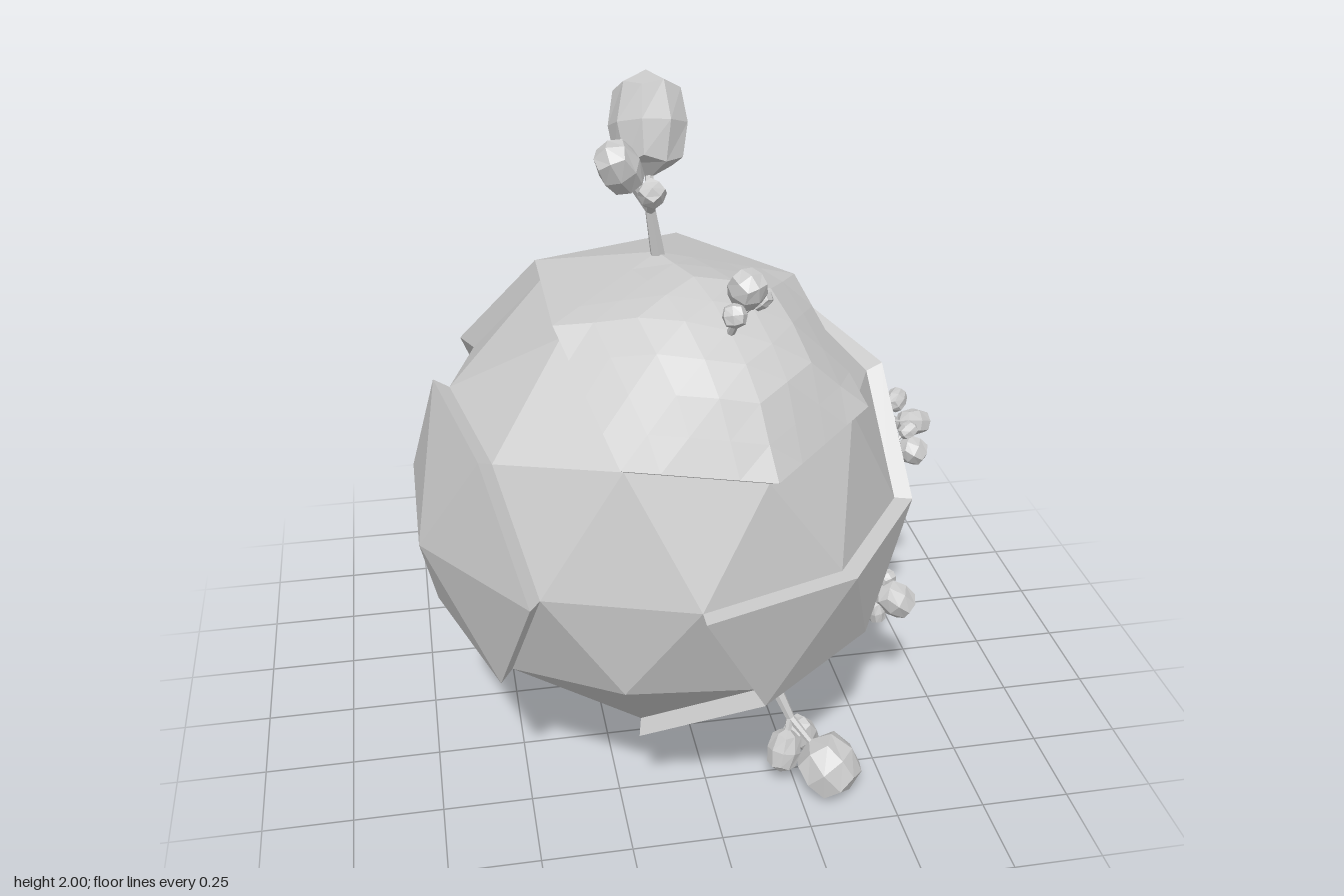
import * as THREE from 'three';

const mat = new THREE.MeshStandardMaterial({ color: 0xcccccc, flatShading: true });
const V = (x, y, z) => new THREE.Vector3(x, y, z);
const CENTER = V(-0.1, 0.89, 0.3);
const R0 = 0.642, R1 = 0.69;
const RING = 0.4472, EDGE = 0.5257, POLAR = 0.8507;

// Unit direction from azimuth (degrees, from +z towards +x) and height
function dir(az, y) {
  const a = THREE.MathUtils.degToRad(az), r = Math.sqrt(1 - y * y);
  return V(r * Math.sin(a), y, r * Math.cos(a));
}
const same = (a, b) => a.distanceTo(b) < 0.02;

// Once-subdivided icosahedron standing on a pole, as triangles of directions
function sphereFaces() {
  const top = V(0, 1, 0), bottom = V(0, -1, 0), big = [], out = [];
  const up = i => dir(18 + 72 * i, RING), low = i => dir(54 + 72 * i, -RING);
  for (let i = 0; i < 5; i++) {
    big.push([top, up(i), up(i + 1)], [up(i), low(i), up(i + 1)],
      [low(i), low(i + 1), up(i + 1)], [bottom, low(i + 1), low(i)]);
  }
  const mid = (a, b) => a.clone().add(b).normalize();
  for (const [a, b, c] of big) {
    const ab = mid(a, b), bc = mid(b, c), ca = mid(c, a);
    out.push([a, ab, ca], [ab, b, bc], [ca, bc, c], [ab, bc, ca]);
  }
  return out;
}

function meshFrom(points, name) {
  const g = new THREE.BufferGeometry().setFromPoints(points);
  g.computeVertexNormals();
  const m = new THREE.Mesh(g, mat);
  m.name = name;
  return m;
}

// The north pole is pressed down slightly
const raised = d => d.clone().multiplyScalar(d.y > 0.99 ? 0.675 : R1);

// Triangle split into n rows, swelling towards its first corner
function hillFace([a, b, c], height, n = 4) {
  const A = raised(a), B = raised(b), C = raised(c), pts = [];
  const p = (i, j) => {
    const w = 1 - i / n, v = j / n;
    const q = A.clone().multiplyScalar(w).addScaledVector(B, 1 - w - v).addScaledVector(C, v);
    return q.setLength(THREE.MathUtils.lerp(q.length(), height, Math.min(1, 1.8 * w)));
  };
  for (let i = 0; i < n; i++) {
    for (let j = 0; j <= i; j++) {
      pts.push(p(i, j), p(i + 1, j), p(i + 1, j + 1));
      if (j < i) pts.push(p(i, j), p(i + 1, j + 1), p(i, j + 1));
    }
  }
  return pts;
}

// Raised plate: outer faces plus walls along its border
function plate(faces, name, hill) {
  const pts = [];
  for (const f of faces) {
    if (hill) {
      const k = f.findIndex(d => same(d, hill.at));
      pts.push(...hillFace([f[k], f[(k + 1) % 3], f[(k + 2) % 3]], hill.height));
    } else pts.push(...f.map(raised));
    f.forEach((a, i) => {
      const b = f[(i + 1) % 3];
      const shared = faces.some(g => g !== f && g.some(d => same(d, a)) && g.some(d => same(d, b)));
      if (shared) return;
      const A = raised(a), B = raised(b);
      const a0 = a.clone().multiplyScalar(R0 * 0.98), b0 = b.clone().multiplyScalar(R0 * 0.98);
      pts.push(A, a0, b0, A, b0, B);
    });
  }
  return meshFrom(pts, name);
}

// Tapered stick between two points
function stick(a, b, r0, r1, name) {
  const d = b.clone().sub(a);
  const m = new THREE.Mesh(new THREE.CylinderGeometry(r1, r0, d.length(), 6), mat);
  m.position.copy(a).addScaledVector(d, 0.5);
  m.quaternion.setFromUnitVectors(V(0, 1, 0), d.normalize());
  m.name = name;
  return m;
}

// Faceted leaf clump: a divided box pulled towards a ball
function clumpGeometry() {
  const g = new THREE.BoxGeometry(1, 1, 1, 2, 2, 2), p = g.attributes.position, v = V(0, 0, 0);
  for (let i = 0; i < p.count; i++) {
    v.fromBufferAttribute(p, i);
    v.multiplyScalar(THREE.MathUtils.lerp(1, 0.5 / v.length(), 0.85));
    p.setXYZ(i, v.x, v.y, v.z);
  }
  g.computeVertexNormals();
  return g;
}
const clump = clumpGeometry();

// Tree: base point, trunk radius, and clumps as [x, y, z, width, length]
function tree(base, r, clumps, name) {
  const g = new THREE.Group();
  g.name = name;
  const b = V(...base), out = b.clone().sub(CENTER).normalize(), fork = V(0, 0, 0);
  clumps.forEach(c => fork.add(V(c[0], c[1], c[2])));
  fork.divideScalar(clumps.length).lerp(b, 0.5);
  g.add(stick(b.clone().addScaledVector(out, -0.04), fork, r, r * 0.65, 'trunk'));
  clumps.forEach(([x, y, z, w, l], i) => {
    const at = V(x, y, z), along = at.clone().sub(fork).normalize();
    g.add(stick(fork, at, r * 0.6, r * 0.35, 'branch'));
    const leaf = new THREE.Mesh(clump, mat);
    leaf.position.copy(at);
    leaf.scale.set(w, l, w);
    leaf.quaternion.setFromUnitVectors(V(0, 1, 0), along);
    leaf.rotateY(0.5 + i * 0.9);
    leaf.name = 'leafClump';
    g.add(leaf);
  });
  return g;
}

export function createModel() {
  const model = new THREE.Group();
  model.name = 'littlePlanet';
  const planet = new THREE.Group();
  planet.name = 'planet';
  planet.position.copy(CENTER);
  model.add(planet);

  // Inner ball
  const faces = sphereFaces();
  planet.add(meshFrom(faces.flat().map(d => d.clone().multiplyScalar(R0)), 'core'));

  // Plates, each gathering the faces around some vertices or one whole face
  const around = (...ds) => faces.filter(f => f.some(a => ds.some(d => same(a, d))));
  const exact = (...ds) => faces.filter(f => f.every(a => ds.some(d => same(a, d))));
  const topHill = dir(18, POLAR), sideHill = dir(108, 0);
  const topFaces = around(topHill);
  planet.add(plate(topFaces, 'topPlate', { at: topHill, height: 0.712 }));
  planet.add(plate(around(sideHill), 'leftPlate', { at: sideHill, height: 0.7 }));
  planet.add(plate(around(dir(288, 0)), 'rightPlate'));
  planet.add(plate([
    ...around(dir(54, -POLAR), dir(54, -RING)),
    ...exact(dir(0, 0), dir(36, 0), dir(18, -EDGE)),
    ...exact(dir(126, -RING), dir(90, -EDGE), dir(126, -POLAR)),
  ], 'lowerPlate'));
  planet.add(plate(
    around(V(0, 1, 0), dir(198, EDGE), dir(198, -RING)).filter(f => !topFaces.includes(f)),
    'backPlate'));

  // Trees
  model.add(tree([-0.09, 1.55, 0.3], 0.022, [
    [-0.11, 1.88, 0.23, 0.19, 0.27], [-0.205, 1.825, 0.385, 0.11, 0.15],
    [-0.13, 1.76, 0.41, 0.07, 0.09]], 'topTree'));
  model.add(tree([0.02, 1.5, 0.66], 0.012, [
    [0.035, 1.64, 0.75, 0.09, 0.1], [0, 1.59, 0.78, 0.06, 0.06],
    [0.075, 1.6, 0.72, 0.05, 0.06]], 'frontTree'));
  model.add(tree([0.56, 0.9, 0.12], 0.01, [
    [0.66, 0.93, 0.02, 0.06, 0.08], [0.71, 0.865, 0.045, 0.08, 0.11],
    [0.64, 0.87, 0.05, 0.05, 0.06]], 'leftTreeA'));
  model.add(tree([0.56, 0.9, 0.21], 0.01, [
    [0.65, 0.87, 0.22, 0.08, 0.09], [0.64, 0.925, 0.2, 0.05, 0.06]], 'leftTreeB'));
  model.add(tree([0.55, 0.78, 0.17], 0.01, [
    [0.61, 0.69, 0.11, 0.07, 0.1], [0.61, 0.74, 0.15, 0.05, 0.06],
    [0.6, 0.73, 0.06, 0.05, 0.06]], 'leftTreeC'));
  model.add(tree([0.49, 0.52, 0.3], 0.013, [
    [0.6, 0.425, 0.31, 0.1, 0.13], [0.545, 0.39, 0.31, 0.055, 0.08],
    [0.58, 0.48, 0.28, 0.05, 0.06]], 'lowerLeftTree'));
  model.add(tree([0.2, 0.31, 0.5], 0.02, [
    [0.335, 0.095, 0.61, 0.17, 0.18], [0.215, 0.125, 0.56, 0.09, 0.13],
    [0.28, 0.13, 0.5, 0.09, 0.12]], 'bottomTree'));
  model.add(tree([-0.28, 0.54, -0.26], 0.016, [
    [-0.42, 0.48, -0.46, 0.13, 0.16], [-0.32, 0.42, -0.41, 0.09, 0.11],
    [-0.42, 0.58, -0.5, 0.06, 0.12], [-0.43, 0.39, -0.33, 0.07, 0.08],
    [-0.2, 0.4, -0.38, 0.06, 0.08]], 'backTree'));

  // Floating cube behind the planet
  const cube = new THREE.Mesh(new THREE.BoxGeometry(0.245, 0.24, 0.245), mat);
  cube.position.set(-0.112, 0.885, -0.876);
  cube.name = 'floatingCube';
  model.add(cube);
  return model;
}
